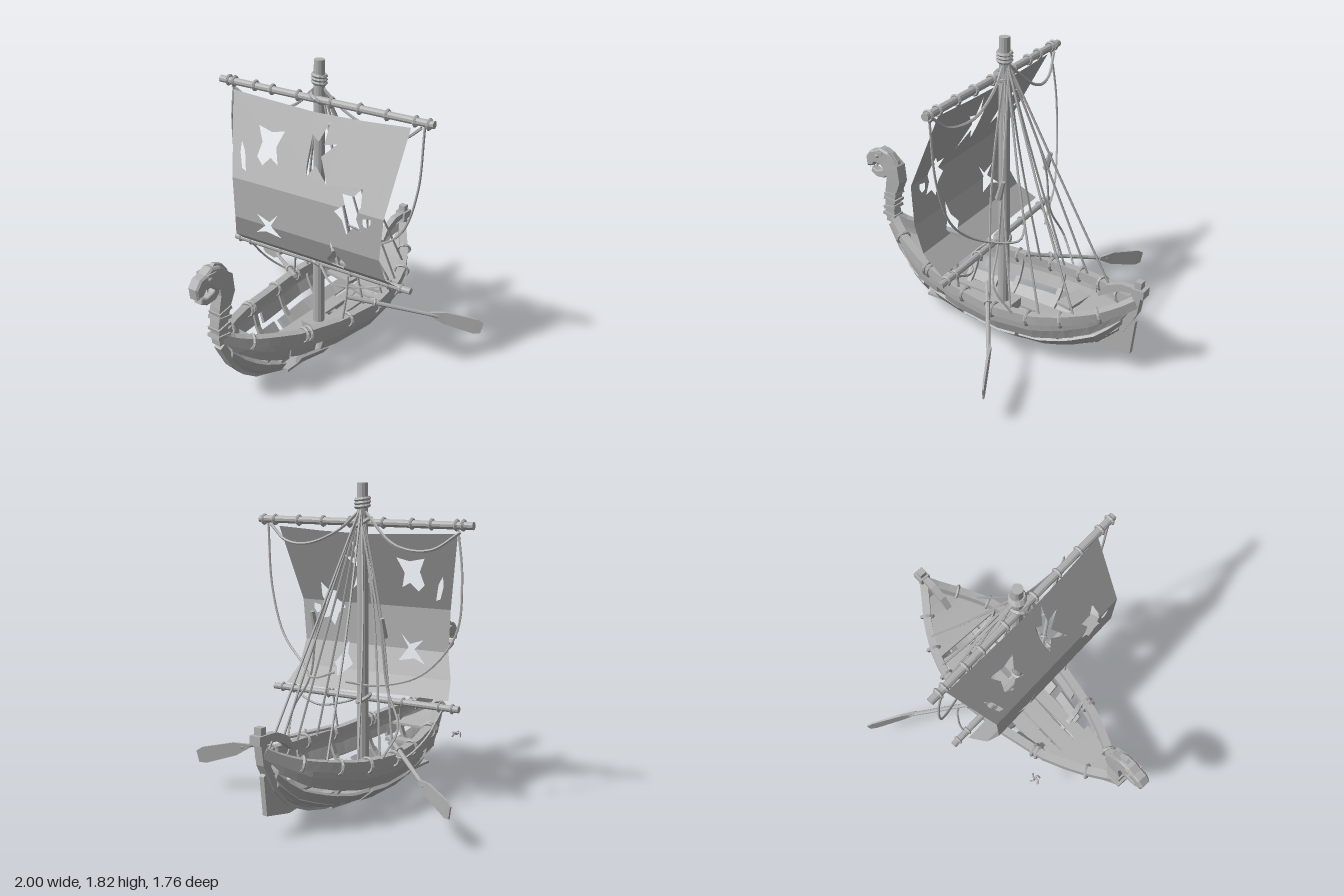
import * as THREE from 'three';

const V = (x, y, z) => new THREE.Vector3(x, y, z);
const grey = new THREE.MeshStandardMaterial({ color: 0xb0b0b0, flatShading: true, side: THREE.DoubleSide });
grey.name = 'weathered grey';

// hull stations: x, half beam, sheer height, keel height
const STATIONS = [
  [-0.82, 0.015, 0.49, 0.42], [-0.74, 0.06, 0.44, 0.27], [-0.65, 0.11, 0.41, 0.17], [-0.55, 0.16, 0.39, 0.1],
  [-0.4, 0.22, 0.36, 0.05], [-0.1, 0.285, 0.325, 0.025], [0.2, 0.325, 0.32, 0.03], [0.45, 0.3, 0.335, 0.05],
  [0.6, 0.25, 0.36, 0.085], [0.75, 0.165, 0.39, 0.15], [0.86, 0.08, 0.43, 0.26], [0.94, 0.02, 0.48, 0.41]];

function lerpRow(rows, x) {
  let i = 0;
  while (i < rows.length - 2 && x > rows[i + 1][0]) i++;
  const t = (x - rows[i][0]) / (rows[i + 1][0] - rows[i][0]);
  return rows[i].map((a, k) => a + (rows[i + 1][k] - a) * t);
}

// point on the hull skin: v = 0 at the rail, 1 at the keel
function hull(x, v, side, inset = 0) {
  const [, b, s, k] = lerpRow(STATIONS, x), a = v * Math.PI / 2;
  const z = Math.max(0, b * Math.pow(Math.max(0, Math.cos(a)), 0.9) - inset * Math.cos(a));
  return V(x, s - (s - k) * Math.sin(a) + inset * Math.sin(a), side * z);
}

// closed skin through rings of equal point count, with capped ends
function loft(rings) {
  const n = rings[0].length, pos = [], idx = [];
  rings.forEach(r => r.forEach(p => pos.push(p.x, p.y, p.z)));
  for (let i = 0; i < rings.length - 1; i++) for (let j = 0; j < n; j++) {
    const a = i * n + j, b = i * n + (j + 1) % n;
    idx.push(a, b, a + n, b, b + n, a + n);
  }
  const e = (rings.length - 1) * n;
  for (let j = 1; j < n - 1; j++) idx.push(0, j + 1, j, e, e + j, e + j + 1);
  const g = new THREE.BufferGeometry();
  g.setAttribute('position', new THREE.Float32BufferAttribute(pos, 3));
  g.setIndex(idx);
  g.computeVertexNormals();
  return g;
}

// rectangular beam along points; w is sideways, h is across
function beam(pts, w, h, sideways) {
  return loft(pts.map((p, i) => {
    const t = pts[Math.min(i + 1, pts.length - 1)].clone().sub(pts[Math.max(i - 1, 0)]).normalize();
    const s = sideways || t.clone().cross(V(0, 1, 0)).normalize(), u = s.clone().cross(t).normalize();
    const hh = Array.isArray(h) ? h[i] : h, ww = Array.isArray(w) ? w[i] : w;
    return [[1, 1], [1, -1], [-1, -1], [-1, 1]].map(([a, b]) =>
      p.clone().addScaledVector(s, a * ww / 2).addScaledVector(u, b * hh / 2));
  }));
}

const range = (a, b, n) => Array.from({ length: n + 1 }, (_, i) => a + (b - a) * i / n);

// sail outline (z, y), holes, and belly profile (y, x offset)
const OUTLINE = [[0.6, 1.56], [0.59, 1.1], [0.57, 0.85], [0.58, 0.6], [0.2, 0.6], [-0.2, 0.61], [-0.51, 0.61],
  [-0.46, 0.7], [-0.41, 0.85], [-0.42, 1.1], [-0.57, 1.55], [-0.3, 1.54], [0, 1.53], [0.3, 1.54]];
const HOLES = [
  [[0.2, 1.4], [0.12, 1.38], [0.12, 1.5], [0.08, 1.39], [0.03, 1.42], [0.04, 1.28], [0.06, 1.2], [0.1, 1.27], [0.2, 1.19], [0.12, 1.32]],
  [[-0.15, 1.4], [-0.23, 1.38], [-0.33, 1.4], [-0.28, 1.32], [-0.29, 1.24], [-0.24, 1.2], [-0.2, 1.25], [-0.14, 1.22], [-0.18, 1.31]],
  [[-0.42, 1.3], [-0.38, 1.25], [-0.34, 1.15], [-0.37, 1.16], [-0.41, 1.24]],
  [[0.42, 1.22], [0.38, 1.17], [0.31, 1.17], [0.34, 1.12], [0.28, 1.07], [0.33, 1.03], [0.36, 0.95], [0.4, 1], [0.45, 0.99], [0.42, 1.06], [0.44, 1.13]],
  [[0.51, 1.08], [0.46, 1.07], [0.46, 1.03], [0.49, 1.02], [0.51, 1.05]],
  [[0.26, 0.87], [0.25, 0.79], [0.2, 0.73], [0.27, 0.66], [0.33, 0.73], [0.29, 0.78]],
  [[-0.1, 0.94], [-0.16, 0.88], [-0.25, 0.91], [-0.19, 0.85], [-0.28, 0.77], [-0.2, 0.8], [-0.1, 0.78], [-0.15, 0.86]]];
const BELLY = [[0.58, 0.02], [0.7, -0.135], [0.85, -0.195], [1.1, -0.195], [1.57, 0.02]];

// flat torn cloth, cut at the fold heights and bent along the belly
function sailGeometry() {
  const v2 = a => a.map(p => new THREE.Vector2(...p));
  const shape = new THREE.Shape(v2(OUTLINE));
  HOLES.forEach(h => shape.holes.push(new THREE.Path(v2(h))));
  const src = new THREE.ShapeGeometry(shape).toNonIndexed().attributes.position, pos = [];
  const clip = (poly, y, s) => poly.flatMap((p, i) => {
    const q = poly[(i + 1) % poly.length], a = (p[1] - y) * s, b = (q[1] - y) * s, out = a >= 0 ? [p] : [];
    if (a * b < 0) out.push([p[0] + (q[0] - p[0]) * a / (a - b), y]);
    return out;
  });
  for (let i = 0; i < src.count; i += 3) {
    const tri = [0, 1, 2].map(k => [src.getX(i + k), src.getY(i + k)]);
    for (let b = 0; b < BELLY.length - 1; b++) {
      const poly = clip(clip(tri, BELLY[b][0], 1), BELLY[b + 1][0], -1);
      for (let j = 1; j < poly.length - 1; j++) [poly[0], poly[j], poly[j + 1]].forEach(([z, y]) =>
        pos.push(0.08 * z + lerpRow(BELLY, y)[1], y, z));
    }
  }
  const g = new THREE.BufferGeometry();
  g.setAttribute('position', new THREE.Float32BufferAttribute(pos, 3));
  g.computeVertexNormals();
  return g;
}

export function createModel() {
  const root = new THREE.Group();
  const add = (name, geo) => {
    const m = new THREE.Mesh(geo, grey);
    m.name = name;
    root.add(m);
    return m;
  };
  const box = (name, x, y, z, w, h, d) => { const m = add(name, new THREE.BoxGeometry(w, h, d)); m.position.set(x, y, z); return m; };
  const rod = (name, a, b, r0, r1 = r0, n = 10) => {
    const d = b.clone().sub(a), m = add(name, new THREE.CylinderGeometry(r1, r0, d.length(), n));
    m.position.copy(a).addScaledVector(d, 0.5);
    m.quaternion.setFromUnitVectors(V(0, 1, 0), d.normalize());
    return m;
  };
  const ring = (name, p, axis, r, t) => {
    const m = add(name, new THREE.TorusGeometry(r, t, 5, 12));
    m.position.copy(p);
    m.quaternion.setFromUnitVectors(V(0, 0, 1), axis.clone().normalize());
    return m;
  };
  const rope = (name, pts, r = 0.007) =>
    add(name, new THREE.TubeGeometry(new THREE.CatmullRomCurve3(pts.map(p => V(...p))), pts.length * 6, r, 5));
  const slab = (name, pts, depth, bevel = 0) => {
    const g = new THREE.ExtrudeGeometry(new THREE.Shape(pts.map(p => new THREE.Vector2(...p))),
      { depth, bevelEnabled: bevel > 0, bevelSize: bevel, bevelThickness: bevel, bevelSegments: 1 });
    return add(name, g.translate(0, 0, -depth / 2));
  };

  // strakes: v from, v to, x from, x to
  const STRAKES = [[0, 0.19, -0.8, 0.93], [0.18, 0.36, -0.8, -0.45], [0.18, 0.3, -0.45, -0.28], [0.18, 0.36, -0.22, 0.92],
    [0.45, 0.66, -0.76, -0.45], [0.43, 0.6, -0.34, -0.13], [0.45, 0.7, -0.08, 0.3], [0.47, 0.66, 0.32, 0.88],
    [0.67, 0.83, -0.76, 0.05], [0.7, 0.83, 0.1, 0.86], [0.84, 1, -0.78, -0.35], [0.86, 1, -0.2, 0.2], [0.84, 1, 0.42, 0.88]];
  for (const s of [1, -1]) {
    STRAKES.forEach(([v0, v1, xa, xb], i) => add('hullPlank', loft(range(xa, xb, Math.ceil((xb - xa) * 16)).map(x => {
      const o = i % 2 ? 0 : 0.006;
      return [hull(x, v0, s, -o), hull(x, v1, s, -o - 0.004), hull(x, v1, s, 0.018), hull(x, v0, s, 0.018)];
    }))));
    add('gunwale', beam(range(-0.81, 0.94, 30).map(x => hull(x, 0, s, 0.012).add(V(0, -0.012, 0))), 0.05, 0.055));
    // rope lashings on the rail
    for (const x of [-0.66, -0.36, -0.33, -0.03, 0.2, 0.42, 0.6, 0.78]) {
      const p = hull(x, 0, s, 0.012).add(V(0, -0.014, 0)), t = hull(x + 0.03, 0, s).sub(hull(x - 0.03, 0, s));
      ring('railLashing', p, t, 0.04, 0.01);
    }
    // oars
    const a = V(0.07, 0.385, 0.2 * s), b = V(0.4, 0.26, 0.64 * s), c = V(0.53, 0.2, 0.87 * s);
    rod('oarShaft', a, b, 0.014, 0.012, 8);
    const mid = k => b.clone().lerp(c, k);
    add('oarBlade', beam([mid(-0.2), mid(0.15), mid(0.85), mid(1)], [0.02, 0.014, 0.01, 0.008], [0.02, 0.08, 0.1, 0.07]));
    ring('oarLashing', a.clone().lerp(b, 0.3), b.clone().sub(a), 0.018, 0.008);
  }
  // ribs inside the hull
  for (const x of [-0.55, -0.3, 0, 0.3, 0.55])
    add('rib', beam(range(-1, 1, 12).map(t => hull(x, 1 - Math.abs(t), Math.sign(t) || 1, 0.024)), 0.03, 0.02, V(1, 0, 0)));
  // keel, stem and sternpost
  add('keel', beam(STATIONS.map(r => V(r[0], r[3], 0)).concat([V(0.955, 0.52, 0)]), 0.05, 0.045, V(0, 0, 1)));
  box('keelShoe', 0.3, 0.035, 0, 0.18, 0.06, 0.06).rotation.z = 0.08;

  // end decks, floor and benches
  const deck = (xa, xb, drop) => add('endDeck', loft(range(xa, xb, 6).map(x => {
    const p = hull(x, 0.2, 1, 0.01), y = lerpRow(STATIONS, x)[2] - drop;
    return [V(x, y, p.z), V(x, y - 0.015, p.z), V(x, y - 0.015, -p.z), V(x, y, -p.z)];
  })));
  deck(-0.76, -0.5, 0.08);
  deck(0.55, 0.88, 0.08);
  [[-0.19, 0, 0.5, 0.1], [-0.05, 0.11, 0.75, 0.08], [-0.02, -0.11, 0.85, 0.09], [0.33, 0, 0.35, 0.06]].forEach(([x, z, w, d]) =>
    box('floorBoard', x, 0.1, z, w, 0.016, d));
  box('brokenBench', 0.48, 0.24, 0.13, 0.09, 0.02, 0.2).rotation.y = 0.1;
  box('brokenBench', 0.47, 0.24, -0.13, 0.1, 0.02, 0.2).rotation.y = -0.15;
  box('foreBench', -0.46, 0.2, 0, 0.07, 0.02, 0.32);
  box('mastStep', 0.05, 0.13, 0, 0.16, 0.06, 0.14);

  // rudder, tiller and stern head
  slab('rudder', [[0.67, 0.1], [0.75, 0.09], [0.93, 0.125], [0.95, 0.34], [0.91, 0.37], [0.86, 0.25], [0.77, 0.16]], 0.03);
  add('tiller', beam([V(0.71, 0.44, 0), V(0.77, 0.5, 0), V(0.85, 0.535, 0), V(0.94, 0.545, 0)], 0.04, [0.02, 0.045, 0.045, 0.03], V(0, 0, 1)));
  box('sternHead', 0.96, 0.54, 0, 0.075, 0.05, 0.07);
  box('sternKnob', 0.955, 0.585, 0, 0.04, 0.04, 0.045);

  // carved figurehead
  add('neck', beam([V(-0.81, 0.44, 0), V(-0.82, 0.55, 0), V(-0.8, 0.66, 0), V(-0.775, 0.74, 0), V(-0.785, 0.82, 0), V(-0.84, 0.87, 0)],
    [0.06, 0.065, 0.07, 0.075, 0.075, 0.07], [0.075, 0.07, 0.085, 0.105, 0.11, 0.09], V(0, 0, 1)));
  [0.49, 0.545, 0.6, 0.64].forEach((y, i) => box('neckBand', -0.82 + i * 0.006, y, 0, 0.095, 0.02, 0.085).rotation.z = i % 2 ? 0.2 : -0.15);
  slab('skull', [[-0.77, 0.86], [-0.82, 0.91], [-0.88, 0.925], [-0.92, 0.9], [-0.96, 0.89], [-0.99, 0.85], [-0.985, 0.8], [-0.95, 0.81],
    [-0.93, 0.835], [-0.88, 0.83], [-0.84, 0.79], [-0.79, 0.78]], 0.05, 0.01);
  slab('lowerJaw', [[-0.83, 0.83], [-0.87, 0.78], [-0.92, 0.765], [-0.955, 0.78], [-0.96, 0.755], [-0.92, 0.735], [-0.86, 0.74], [-0.82, 0.78]], 0.045, 0.005);
  slab('crest', [[-0.87, 0.92], [-0.84, 0.94], [-0.79, 0.92], [-0.75, 0.87], [-0.73, 0.8], [-0.73, 0.73], [-0.76, 0.67], [-0.76, 0.8], [-0.8, 0.87]], 0.025);
  for (const s of [1, -1]) {
    [-0.97, -0.94, -0.91].forEach((x, i) => rod('tooth', V(x, 0.815 + i * 0.008, s * 0.022), V(x, 0.785 + i * 0.008, s * 0.022), 0.009, 0.001, 5));
    add('eye', new THREE.IcosahedronGeometry(0.014, 1)).position.set(-0.9, 0.88, s * 0.034);
    add('brow', new THREE.BoxGeometry(0.06, 0.016, 0.016)).position.set(-0.89, 0.902, s * 0.034);
  }

  // mast and yards
  rod('mast', V(0.05, 0.12, 0), V(0.05, 1.82, 0), 0.036, 0.031, 12);
  [1.69, 1.71, 1.73].forEach(y => ring('mastBinding', V(0.05, y, 0), V(0.1, 1, 0.1), 0.037, 0.012));
  const axis = V(0.08, 0, 1), onYard = (z, y) => V(0.025 + 0.08 * z, y, z);
  rod('upperYard', onYard(-0.67, 1.595), onYard(0.73, 1.6), 0.022);
  rod('lowerYard', onYard(-0.6, 0.58), onYard(0.64, 0.58), 0.02);
  [-0.61, -0.57, -0.42, -0.3, -0.12, 0.1, 0.28, 0.45, 0.62, 0.7].forEach(z => ring('yardLashing', onYard(z, 1.598), axis, 0.025, 0.01));
  [-0.56, -0.48, -0.25, 0.25, 0.5, 0.58].forEach(z => ring('yardLashing', onYard(z, 0.58), axis, 0.022, 0.008));
  for (const y of [0.58, 1.6]) ring('yardSling', V(0.04, y, 0), V(0.3, 1, 0.5), 0.045, 0.013);
  add('sail', sailGeometry());

  // shrouds and stays
  const top = [0.06, 1.7, 0];
  for (const s of [1, -1]) {
    [[0.66, 0.38, 0.2], [0.48, 0.34, 0.27], [0.3, 0.34, 0.29], [0.14, 0.33, 0.27]].forEach(([x, y, z], i) =>
      rope('shroud', [top, [0.06 + (x - 0.06) * 0.5 - 0.01 * i, 1.02, s * z * 0.55], [x, y, s * z]]));
    rope('slackLine', [[0.08, 1.66, 0], [0.19, 1, s * 0.22], [0.2, 0.7, s * 0.27], [0.24, 0.5, s * 0.37], [0.34, 0.34, s * 0.33]]);
    rod('pulleyBlock', V(0.18, 0.98, s * 0.24), V(0.21, 1.09, s * 0.24), 0.02, 0.014, 6);
  }
  rope('hangingLine', [[0.07, 1.58, 0.68], [0.08, 1.2, 0.65], [0.1, 0.92, 0.55], [0.15, 0.76, 0.36], [0.28, 0.72, 0.18], [0.24, 0.76, 0.06]]);
  rope('hangingLine', [[-0.02, 1.58, -0.58], [0, 1.3, -0.62], [0.03, 1, -0.6], [0.12, 0.78, -0.44], [0.22, 0.71, -0.2], [0.3, 0.73, -0.06]]);
  rope('drapedLine', [[0.07, 1.57, 0.66], [0.08, 1.48, 0.54], [0.1, 1.47, 0.35], [0.08, 1.55, 0.15], [0.05, 1.68, 0]], 0.009);
  rope('drapedLine', [[-0.01, 1.56, -0.6], [0.05, 1.46, -0.45], [0.09, 1.48, -0.25], [0.05, 1.68, 0]], 0.009);
  rope('sheet', [[0.07, 0.57, 0.5], [0.05, 0.5, 0.32], [-0.05, 0.52, 0.18], [0, 0.58, 0.05]]);
  rope('sheet', [[-0.01, 0.57, -0.5], [0.1, 0.42, -0.46], [0.2, 0.32, -0.38], [0.2, 0.33, -0.31]]);
  rope('sheet', [[-0.06, 0.62, 0.3], [-0.07, 0.5, 0.3], [-0.08, 0.33, 0.28]]);

  // frayed rope end beside the rail
  for (let i = 0; i < 4; i++) {
    const a = i * 1.5;
    rope('frayedKnot', [[-0.46, 0.3, -0.34], [-0.46 + 0.02 * Math.cos(a), 0.315, -0.34 + 0.02 * Math.sin(a)],
      [-0.46 + 0.035 * Math.cos(a + 0.5), 0.29, -0.34 + 0.03 * Math.sin(a + 0.5)]], 0.006);
  }
  return root;
}
